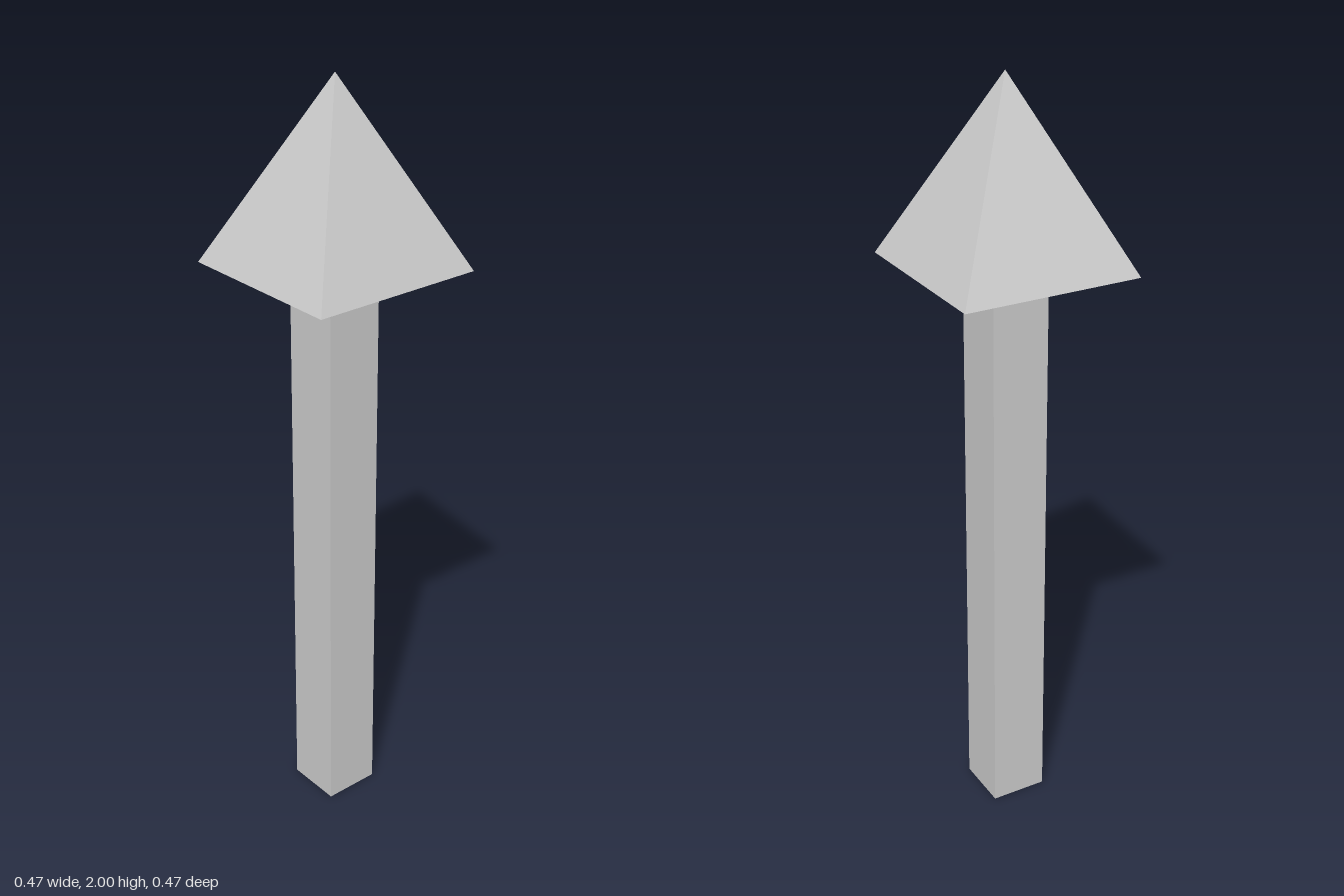
import * as THREE from 'three';

const HEIGHT = 2;
const HEAD_BASE = 1.534; // where the shaft meets the head
const HEAD_WIDTH = 0.469;
const SHAFT_WIDTH = 0.152;

export function createModel() {
  const group = new THREE.Group();
  group.name = 'arrow';
  const material = new THREE.MeshStandardMaterial({ color: 0xcccccc, flatShading: true });

  // Square shaft
  const shaft = new THREE.Mesh(new THREE.BoxGeometry(SHAFT_WIDTH, HEAD_BASE, SHAFT_WIDTH), material);
  shaft.name = 'shaft';
  shaft.position.set(-0.002, HEAD_BASE / 2, 0);
  group.add(shaft);

  // Pyramid head: a four-sided cone turned so its sides face the axes
  const headHeight = HEIGHT - HEAD_BASE;
  const headGeometry = new THREE.ConeGeometry(HEAD_WIDTH / Math.SQRT2, headHeight, 4);
  headGeometry.rotateY(Math.PI / 4);
  const head = new THREE.Mesh(headGeometry, material);
  head.name = 'head';
  head.position.y = HEAD_BASE + headHeight / 2;
  group.add(head);

  return group;
}
